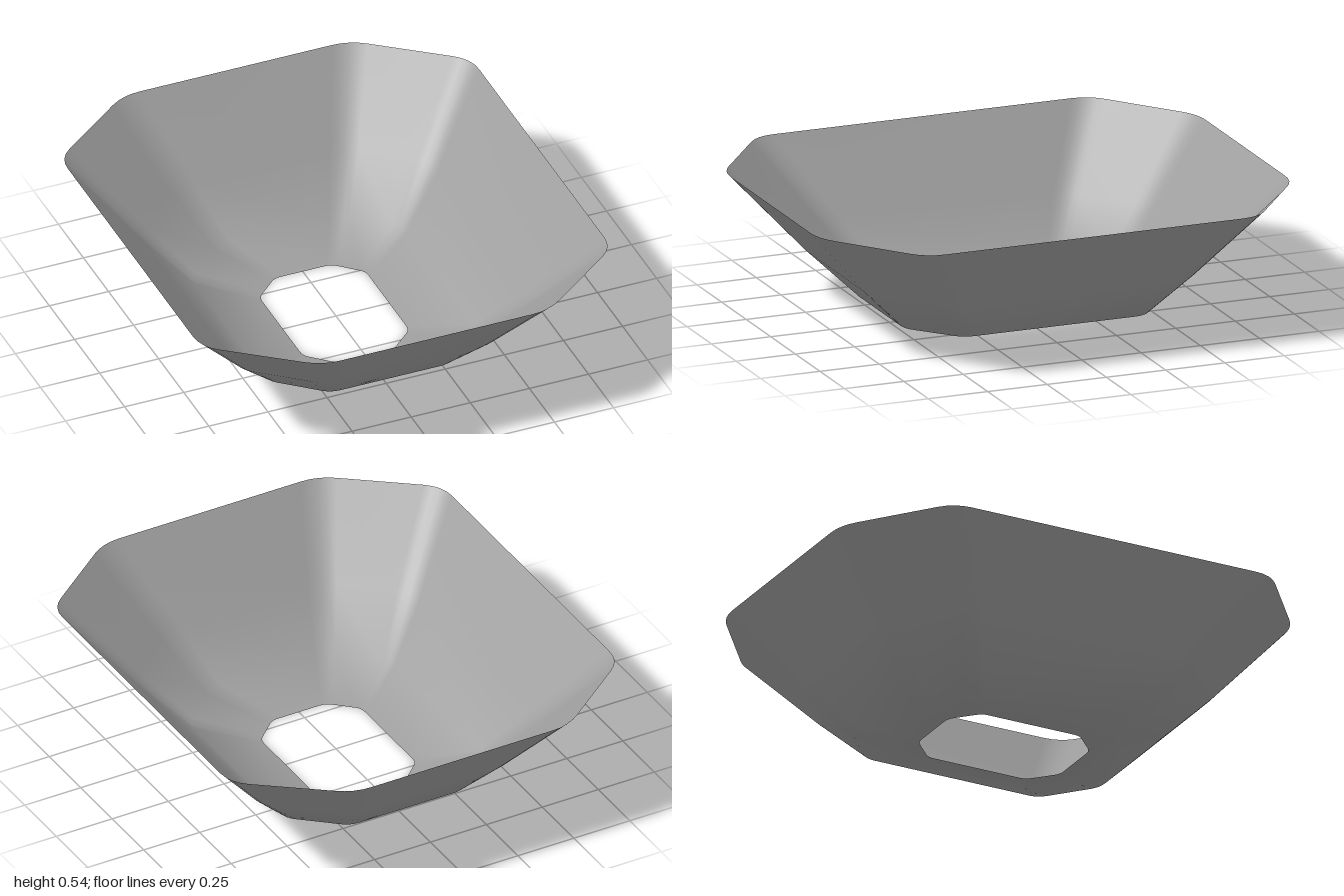
import * as THREE from 'three';

const STEPS = 4; // segments per rounded corner

// One octagonal outline: half width hx, depth hz, chamfer corners (cx, hz) and (hx, cz),
// corner rounding r, and z offset.
function ring({ y, hx, hz, cx, cz, r, z }) {
  const corners = [
    [cx, hz], [hx, cz], [hx, -cz], [cx, -hz],
    [-cx, -hz], [-hx, -cz], [-hx, cz], [-cx, hz],
  ].map(([a, b]) => new THREE.Vector2(a, b));
  const points = [];
  corners.forEach((c, i) => {
    const toward = (o) => c.clone().add(o.clone().sub(c).setLength(r));
    const bend = new THREE.QuadraticBezierCurve(
      toward(corners[(i + 7) % 8]), c, toward(corners[(i + 1) % 8]));
    for (const p of bend.getPoints(STEPS)) points.push(new THREE.Vector3(p.x, y, p.y + z));
  });
  return points;
}

// Skin the outlines from bottom to top, sharing vertices for smooth shading
function loft(rings) {
  const n = rings[0].length;
  const index = [];
  for (let k = 0; k < rings.length - 1; k++) {
    for (let i = 0; i < n; i++) {
      const a = k * n + i, b = k * n + (i + 1) % n;
      index.push(a, b, b + n, a, b + n, a + n);
    }
  }
  const geometry = new THREE.BufferGeometry().setFromPoints(rings.flat());
  geometry.setIndex(index);
  geometry.computeVertexNormals();
  return geometry;
}

export function createModel() {
  const group = new THREE.Group();
  group.name = 'funnel';

  // Open tapered shell: drain rim, sloped floor, lower wall, upper wall
  const rings = [
    { y: 0, hx: 0.225, hz: 0.313, cx: 0.12, cz: 0.215, r: 0.025, z: -0.018 },
    { y: 0.05, hx: 0.447, hz: 0.55, cx: 0.25, cz: 0.38, r: 0.04, z: -0.01 },
    { y: 0.235, hx: 0.622, hz: 0.732, cx: 0.345, cz: 0.505, r: 0.06, z: -0.003 },
    { y: 0.536, hx: 0.87, hz: 1, cx: 0.48, cz: 0.7, r: 0.075, z: 0 },
  ].map(ring);

  const shell = new THREE.Mesh(
    loft(rings),
    new THREE.MeshStandardMaterial({ color: 0x9e9e9e, side: THREE.DoubleSide }));
  shell.name = 'funnelShell';
  group.add(shell);
  return group;
}
